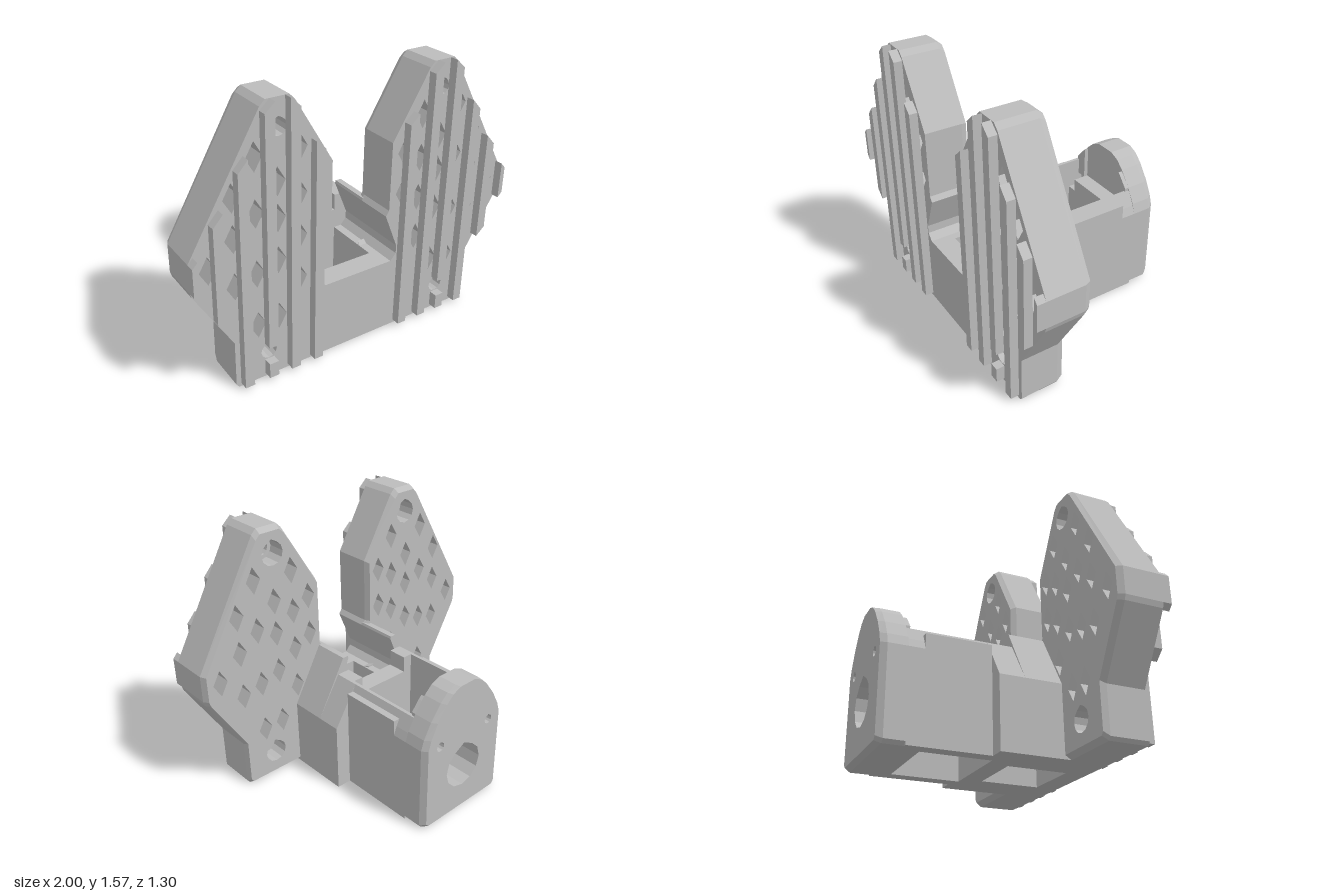
import * as THREE from 'three';

const grey = new THREE.MeshStandardMaterial({ color: 0xbcbcbc });
grey.name = 'grey plastic';

const mirrored = half => [...half, ...half.map(([x, y]) => [-x, y]).reverse()];
const diamond = (x, y) => [[x - 0.046, y], [x, y - 0.08], [x + 0.046, y], [x, y + 0.08]];

// Counter-clockwise points, mirrored in x when s is -1
function loop(pts, s) {
  const out = pts.map(([x, y]) => new THREE.Vector2(x * s, y));
  return THREE.ShapeUtils.isClockWise(out) ? out.reverse() : out;
}

// Printable round hole with a slightly pointed top
function teardrop(x, y, r) {
  const pts = [];
  for (let i = 0; i < 12; i++) {
    const a = Math.PI / 2 + (i / 12) * Math.PI * 2;
    const k = i === 0 ? r * 1.15 : r;
    pts.push([x + Math.cos(a) * k, y + Math.sin(a) * k]);
  }
  return pts;
}

// Slab of an xy outline from z0 to z1; optional taper shrinks the outline at its back face
function slab(group, name, outline, z0, z1, { holes = [], s = 1, taper = null } = {}) {
  const pts = loop(outline, s);
  const shape = new THREE.Shape(pts);
  holes.forEach(h => shape.holes.push(new THREE.Path(loop(h, s).reverse())));
  const geo = new THREE.ExtrudeGeometry(shape, { depth: z1 - z0, bevelEnabled: false });
  if (taper) {
    const p = geo.attributes.position;
    for (let i = 0; i < p.count; i++) {
      const x = p.getX(i), y = p.getY(i);
      const onEdge = pts.some(q => Math.hypot(q.x - x, q.y - y) < 1e-4);
      if (p.getZ(i) < 1e-5 && onEdge) {
        const cx = taper.x * s;
        p.setXY(i, cx + (x - cx) * taper.kx, taper.y + (y - taper.y) * taper.ky);
      }
    }
    geo.computeVertexNormals();
  }
  geo.translate(0, 0, z0);
  const mesh = new THREE.Mesh(geo, grey);
  mesh.name = name;
  group.add(mesh);
}

function box(group, name, x0, x1, y0, y1, z0, z1) {
  const mesh = new THREE.Mesh(new THREE.BoxGeometry(x1 - x0, y1 - y0, z1 - z0), grey);
  mesh.position.set((x0 + x1) / 2, (y0 + y1) / 2, (z0 + z1) / 2);
  mesh.name = name;
  group.add(mesh);
}

// Funnel-shaped inner edge shared by wings and middle block, top to bottom
const funnel = [[0.17, 0.74], [0.255, 0.53], [0.255, 0.48], [0.22, 0.44], [0.17, 0.44], [0.17, 0]];

const wingOutline = [
  [0.76, 0], [0.775, 0.02], [0.775, 0.29], [0.99, 0.65], [1, 0.68], [1, 0.84], [0.6, 1.54], [0.57, 1.57],
  [0.44, 1.57], [0.41, 1.54], [0.19, 1.17], [0.19, 0.77], ...funnel,
];

// Lattice columns: x and the heights of the diamonds in it
const lattice = [
  [0.275, [1.1, 0.86]], [0.385, [1.29, 1.04, 0.8, 0.55]], [0.51, [1.14, 0.94, 0.7, 0.36]],
  [0.635, [1.3, 1.0, 0.66, 0.35]], [0.76, [1.1, 0.94, 0.63]].map((v, i) => (i ? [1.12, 0.9, 0.63] : v)), [0.9, [0.77]],
];

// Ribs: inner x, outer x, bottom inner/outer, top inner/outer (one is split around the lower screw)
const ribs = [
  [0.263, 0.318, 0.02, 0.02, 1.27, 1.32], [0.407, 0.462, 0.02, 0.02, 1.52, 1.57],
  [0.545, 0.6, 0.02, 0.02, 0.11, 0.11], [0.545, 0.6, 0.215, 0.215, 1.57, 1.52],
  [0.692, 0.747, 0.02, 0.02, 1.32, 1.26], [0.83, 0.885, 0.43, 0.48, 1.08, 1.02],
  [0.972, 1, 0.65, 0.68, 0.87, 0.84],
];

function buildWing(root, s) {
  const wing = new THREE.Group();
  wing.name = s > 0 ? 'leftWing' : 'rightWing';
  const cells = lattice.flatMap(([x, ys]) => ys.map(y => diamond(x, y)));
  const screws = r => [teardrop(0.5, 1.42, r), teardrop(0.575, 0.16, r)];
  const wide = [...cells, ...screws(0.07)];
  slab(wing, 'wingFront', wingOutline, 0.45, 0.6, { holes: [...cells, ...screws(0.047)], s });
  slab(wing, 'wingCore', wingOutline, 0.375, 0.45, { holes: wide, s });
  slab(wing, 'wingBackBevel', wingOutline, 0.34, 0.375,
    { holes: wide, s, taper: { x: 0.56, y: 0.78, kx: 0.96, ky: 0.97 } });
  for (const [a, b, ya, yb, ta, tb] of ribs) {
    slab(wing, 'rib', [[a, ya], [b, yb], [b, tb], [a, ta]], 0.6, 0.65, { s });
  }
  root.add(wing);
}

export function createModel() {
  const root = new THREE.Group();
  root.name = 'bracket';

  for (const s of [1, -1]) {
    buildWing(root, s);
    // Middle block: raised front part and lower rear part
    slab(root, 'shoulderFront', [[0.4, 0], [0.4, 0.42], [0.21, 0.755], [0.175, 0.755], ...funnel], 0.12, 0.385, { s });
    slab(root, 'shoulderRear', [[0.23, 0], [0.4, 0], [0.4, 0.42], [0.25, 0.66], [0.23, 0.66]], -0.03, 0.12, { s });
    // Rear housing sides
    slab(root, 'housingSide', [[0.23, 0], [0.31, 0], [0.31, 0.53], [0.29, 0.58], [0.25, 0.66], [0.23, 0.66]],
      -0.5, -0.03, { s });
    slab(root, 'sideLedge', [[0.24, 0.5], [0.31, 0.5], [0.31, 0.62], [0.24, 0.62]], -0.41, -0.03, { s });
    slab(root, 'domePost', [[0.17, 0.56], [0.24, 0.56], [0.24, 0.68], [0.19, 0.74], [0.17, 0.76]], -0.5, -0.475, { s });
  }

  // Wall joining the wings at the front
  box(root, 'frontBridge', -0.17, 0.17, 0, 0.44, 0.47, 0.6);

  // Domed rear wall with a large bore and two screw holes
  const dome = mirrored([[0.29, 0], [0.31, 0.02], [0.31, 0.53], [0.29, 0.59], [0.24, 0.68], [0.17, 0.77], [0.12, 0.815], [0.06, 0.84]]);
  const bore = [teardrop(0, 0.3, 0.135)];
  const rearHoles = [...bore, teardrop(0.195, 0.52, 0.028), teardrop(-0.195, 0.52, 0.028)];
  slab(root, 'rearWall', dome, -0.615, -0.5, { holes: rearHoles });
  slab(root, 'rearWallBevel', dome, -0.65, -0.615, { holes: rearHoles, taper: { x: 0, y: 0.84, kx: 0.93, ky: 0.98 } });
  slab(root, 'rearInnerLedge', mirrored([[0.23, 0], [0.23, 0.48], [0.17, 0.48], [0.17, 0.56]]), -0.5, -0.4, { holes: bore });

  // Cross wall between the two wells, with a notch on top
  slab(root, 'crossWall', mirrored([[0.23, 0], [0.23, 0.66], [0.17, 0.66], [0.17, 0.56]]), 0, 0.12,
    { holes: [teardrop(0, 0.3, 0.08)] });

  // Small cable clip in the front well
  box(root, 'clipArm', -0.17, -0.13, 0.1, 0.3, 0.11, 0.2);
  box(root, 'clipHook', -0.07, 0, 0.1, 0.3, 0.11, 0.2);

  return root;
}
